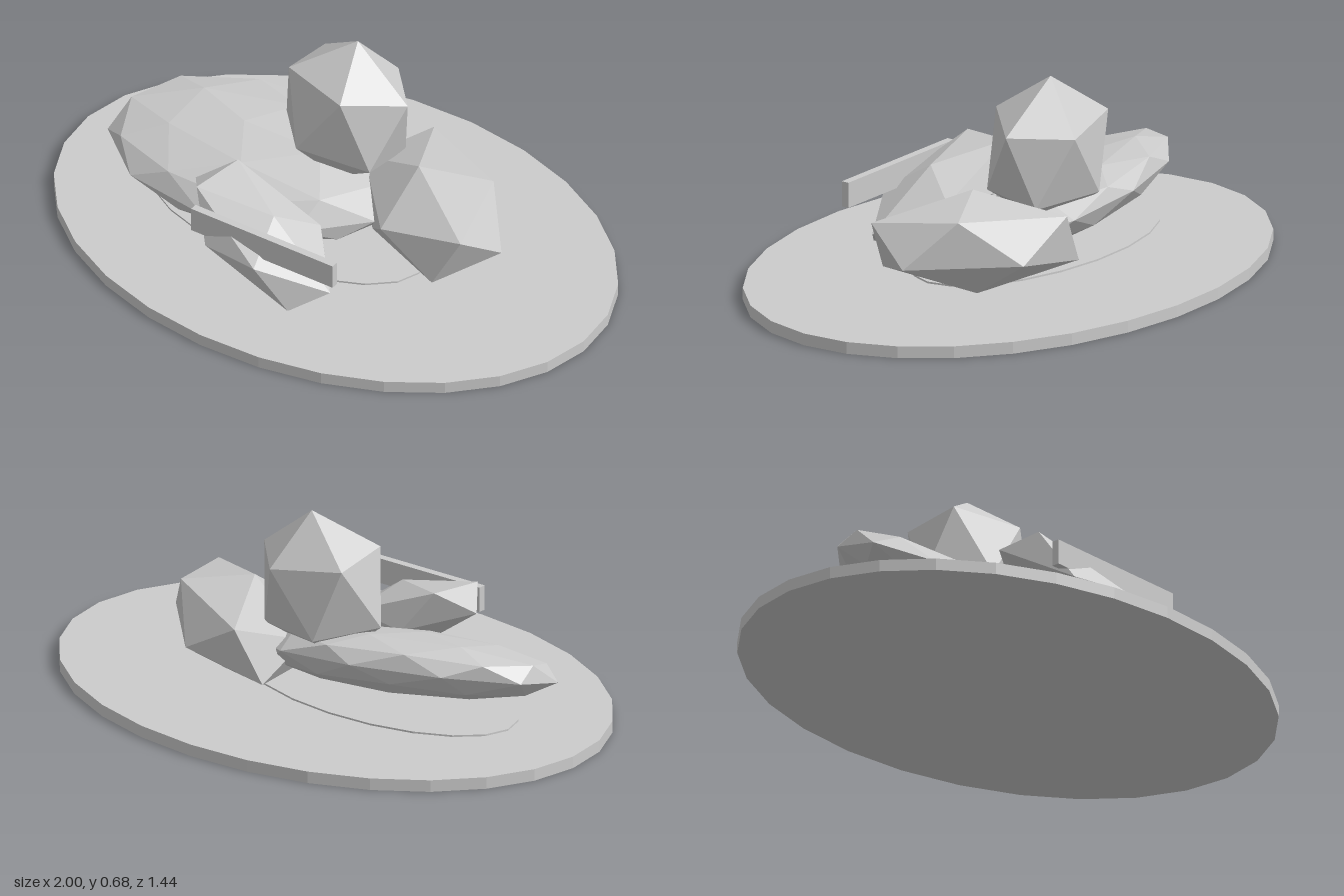
import * as THREE from 'three';

const material = new THREE.MeshStandardMaterial({ color: 0xcccccc, flatShading: true });

function add(group, name, geometry, x, y, z) {
  const mesh = new THREE.Mesh(geometry, material);
  mesh.name = name;
  mesh.position.set(x, y, z);
  group.add(mesh);
  return mesh;
}

// A faceted stone: an icosahedron stretched along three slanted axes
function stone(group, name, detail, centre, ...axes) {
  const [ex, ey, ez] = axes.map((a) => new THREE.Vector3(...a));
  const geometry = new THREE.IcosahedronGeometry(1, detail);
  geometry.applyMatrix4(new THREE.Matrix4().makeBasis(ex, ey, ez));
  geometry.computeVertexNormals();
  return add(group, name, geometry, ...centre);
}

// A flat oval slab
function oval(group, name, rx, rz, height, sides, x, y, z) {
  const geometry = new THREE.CylinderGeometry(1, 1, height, sides).scale(rx, 1, rz);
  return add(group, name, geometry, x, y, z);
}

export function createModel() {
  const group = new THREE.Group();
  group.name = 'stoneArrangement';

  // Ground plate and the thin patch under the stones
  oval(group, 'basePlate', 1, 0.72, 0.04, 28, 0, 0.02, 0);
  oval(group, 'groundPatch', 0.53, 0.265, 0.008, 20, -0.17, 0.042, 0.03);

  // Stones
  stone(group, 'flatStone', 1, [-0.31, 0.185, 0],
    [-0.177, 0.012, 0.25], [0.038, 0.134, -0.155], [-0.469, 0.045, 0]);
  stone(group, 'sideStone', 0, [0.3, 0.2, -0.12],
    [-0.2, 0.033, 0.114], [0.088, 0.168, -0.029], [-0.262, 0.004, -0.262]);
  stone(group, 'topStone', 0, [-0.05, 0.425, -0.125],
    [0.176, 0.109, -0.117], [-0.085, 0.238, 0.037], [0.15, 0.01, 0.15]);
  stone(group, 'frontStone', 0, [-0.045, 0.187, 0.328],
    [0.024, 0.01, -0.177], [-0.238, 0.168, -0.029], [0.2, 0.01, 0.019]);

  // Thin bar across the front stone
  const bar = add(group, 'frontBar', new THREE.BoxGeometry(0.55, 0.085, 0.026), 0.04, 0.243, 0.433);
  bar.rotation.y = 0.05;

  return group;
}
